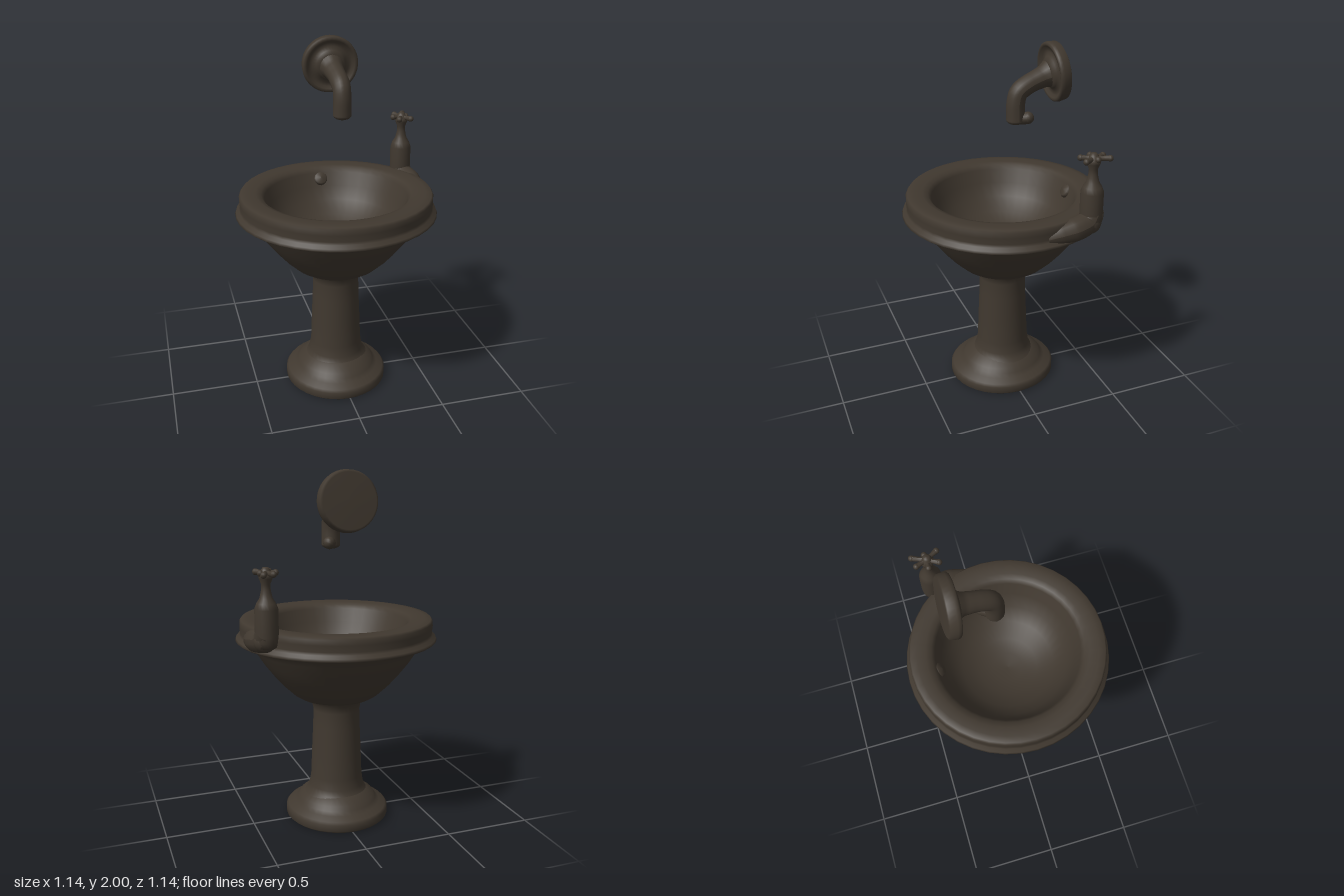
import * as THREE from 'three';

const bronze = new THREE.MeshStandardMaterial({ color: 0x40382f });
bronze.name = 'dark bronze';

const V = (x, y, z) => new THREE.Vector3(x, y, z);

function add(parent, name, geometry, x = 0, y = 0, z = 0) {
  const mesh = new THREE.Mesh(geometry, bronze);
  mesh.name = name;
  mesh.position.set(x, y, z);
  parent.add(mesh);
  return mesh;
}

// turned shape; the profile runs up the outside
function lathe(profile, segments = 36) {
  return new THREE.LatheGeometry(profile.map(([r, y]) => new THREE.Vector2(r, y)), segments);
}

// tube whose radius follows a list of values along its path
function taperTube(points, radii, segments = 28, sides = 16) {
  const curve = new THREE.CatmullRomCurve3(points);
  const geometry = new THREE.TubeGeometry(curve, segments, 1, sides);
  const pos = geometry.attributes.position;
  const v = V(0, 0, 0);
  for (let i = 0; i <= segments; i++) {
    const t = (i / segments) * (radii.length - 1);
    const k = Math.min(Math.floor(t), radii.length - 2);
    const r = THREE.MathUtils.lerp(radii[k], radii[k + 1], t - k);
    const c = curve.getPointAt(i / segments);
    for (let j = 0; j <= sides; j++) {
      const n = i * (sides + 1) + j;
      v.fromBufferAttribute(pos, n).sub(c).multiplyScalar(r).add(c);
      pos.setXYZ(n, v.x, v.y, v.z);
    }
  }
  geometry.computeVertexNormals();
  return geometry;
}

function makeTap() {
  const tap = new THREE.Group();
  tap.name = 'tap';
  // bottle-shaped body with a flared neck
  add(tap, 'tapBody', lathe([
    [0, 1.12], [0.05, 1.12], [0.058, 1.15], [0.061, 1.18], [0.061, 1.32], [0.05, 1.35],
    [0.034, 1.375], [0.028, 1.4], [0.024, 1.42], [0.023, 1.445], [0.035, 1.475],
    [0.038, 1.49], [0.03, 1.505], [0.022, 1.52], [0.014, 1.53], [0, 1.532],
  ], 20), 0.477, 0, -0.302);
  // spoked handle: [angle, length]
  for (const [angle, length] of [[68, 0.095], [112, 0.08], [180, 0.066], [242, 0.085], [300, 0.088], [10, 0.045]]) {
    const a = THREE.MathUtils.degToRad(angle);
    const tip = V(Math.cos(a) * (length - 0.015), 1.502, -Math.sin(a) * (length - 0.015));
    add(tap, 'handleSpoke', taperTube([V(0, 1.5, 0), tip], [0.018, 0.013, 0.016], 6, 8), 0.477, 0, -0.305);
    add(tap, 'handleKnob', new THREE.SphereGeometry(0.017, 10, 8), 0.477 + tip.x, tip.y, -0.305 + tip.z);
  }
  // swelling that carries the tap and fades into the rim
  add(tap, 'tapBracket', taperTube(
    [V(0.477, 1.2, -0.31), V(0.484, 1.155, -0.28), V(0.503, 1.138, -0.21), V(0.505, 1.125, -0.13), V(0.505, 1.11, -0.04)],
    [0.061, 0.063, 0.063, 0.052, 0.032]));
  add(tap, 'bracketEnd', new THREE.SphereGeometry(0.062, 16, 12), 0.484, 1.152, -0.29);
  return tap;
}

function makeSpout() {
  const spout = new THREE.Group();
  spout.name = 'wallSpout';
  // dished wall plate, leaning slightly forward
  const plate = add(spout, 'wallPlate', lathe([
    [0, -0.033], [0.145, -0.032], [0.156, -0.026], [0.161, 0.01], [0.159, 0.026],
    [0.15, 0.033], [0.138, 0.03], [0.125, 0.018], [0.105, 0.016], [0.085, 0.028], [0.068, 0.05], [0, 0.055],
  ]), 0.032, 1.844, -0.281);
  plate.rotation.x = Math.PI / 2 + 0.11;
  // arm sloping out to an elbow, then a straight drop
  add(spout, 'pipe', taperTube(
    [V(0.032, 1.84, -0.27), V(0.036, 1.818, -0.2), V(0.041, 1.79, -0.125), V(0.044, 1.753, -0.07),
      V(0.044, 1.7, -0.054), V(0.044, 1.605, -0.054)],
    [0.086, 0.058, 0.052, 0.052, 0.05, 0.05, 0.051]));
  const end = add(spout, 'pipeEnd', new THREE.SphereGeometry(0.051, 16, 12), 0.044, 1.605, -0.054);
  end.scale.y = 0.5;
  // hooked outlet
  add(spout, 'outlet', taperTube(
    [V(0.044, 1.62, -0.055), V(0.06, 1.614, -0.085), V(0.074, 1.618, -0.112)], [0.038, 0.034, 0.033], 10, 12));
  add(spout, 'outletTip', new THREE.SphereGeometry(0.033, 12, 10), 0.074, 1.618, -0.112);
  return spout;
}

export function createModel() {
  const model = new THREE.Group();
  model.name = 'pedestalBasin';

  // slightly oval foot
  const foot = add(model, 'foot', lathe([
    [0, 0], [0.285, 0], [0.298, 0.012], [0.298, 0.05], [0.286, 0.064], [0.25, 0.082], [0.228, 0.1],
    [0.215, 0.125], [0.17, 0.158], [0.14, 0.17],
  ]), -0.012, 0, 0.006);
  foot.scale.z = 1.05;

  // column flaring at both ends
  add(model, 'column', lathe([
    [0.19, 0.14], [0.172, 0.16], [0.158, 0.19], [0.149, 0.25], [0.143, 0.4], [0.136, 0.55],
    [0.133, 0.65], [0.142, 0.69], [0.165, 0.72], [0.2, 0.74],
  ]), -0.009, 0, 0.003);

  // bowl: outer wall, flange, rim band, then down the inside
  add(model, 'bowl', lathe([
    [0, 0.725], [0.17, 0.725], [0.213, 0.732], [0.25, 0.755], [0.31, 0.812], [0.362, 0.872], [0.418, 0.945],
    [0.46, 1.012], [0.485, 1.048], [0.515, 1.061], [0.558, 1.066], [0.568, 1.074], [0.563, 1.086],
    [0.545, 1.1], [0.54, 1.115], [0.544, 1.15], [0.543, 1.178], [0.534, 1.19], [0.5, 1.194],
    [0.45, 1.191], [0.42, 1.182], [0.402, 1.16], [0.375, 1.085], [0.33, 1.01],
    [0.26, 0.942], [0.17, 0.898], [0.08, 0.88], [0, 0.876],
  ], 40), -0.005, 0, 0);

  // low overflow nub on the back inner wall
  const nub = add(model, 'overflow', lathe([
    [0, -0.03], [0.042, -0.03], [0.041, 0.006], [0.034, 0.018], [0, 0.024],
  ], 12), 0, 1.125, -0.392);
  nub.rotation.x = 0.95;

  model.add(makeTap(), makeSpout());
  return model;
}
